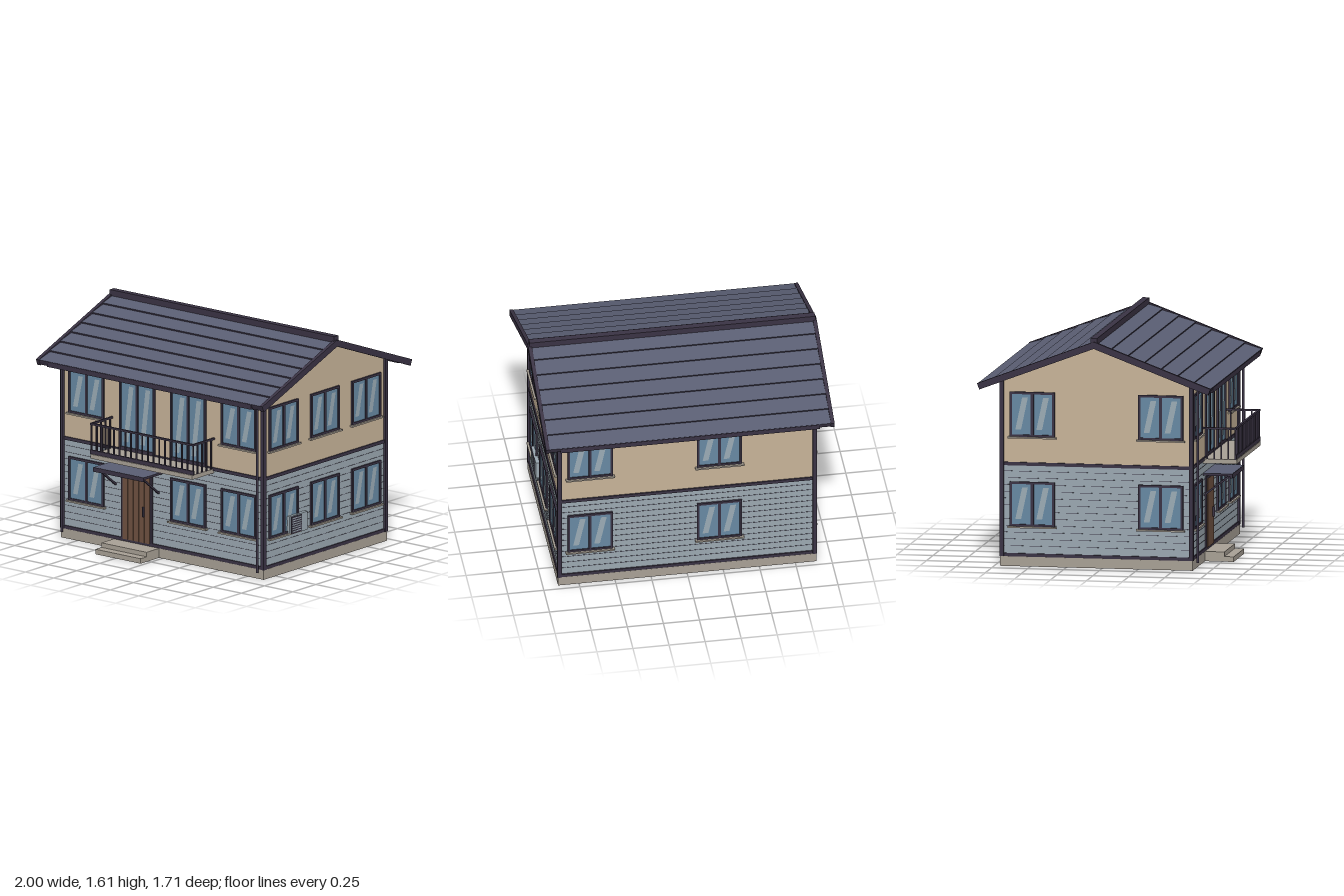
import * as THREE from 'three';

const paint = (name, color) => {
  const m = new THREE.MeshStandardMaterial({ color });
  m.name = name;
  return m;
};
const trim = paint('dark trim', 0x3a3344);
const siding = paint('blue grey siding', 0x9ba8b1);
const plaster = paint('beige plaster', 0xc7b398);
const stone = paint('stone', 0xa8a095);
const glass = paint('window glass', 0x6789a3);
const shine = paint('glass shine', 0x9aabb5);
const wood = paint('door wood', 0x6e5140);
const tile = paint('roof tile', 0x5a5e73);

const C = -0.04;              // z of the house centre and ridge
const HX = 0.885, HZ = 0.66;  // half size of the walls
const T = 0.02;               // wall thickness
const MID = 0.708, EAVE = 1.29;
const SLOPE = Math.atan(0.378);

function add(parent, name, geometry, mat, [x, y, z] = [0, 0, 0]) {
  const mesh = new THREE.Mesh(geometry, mat);
  mesh.name = name;
  mesh.position.set(x, y, z);
  parent.add(mesh);
  return mesh;
}
const box = (parent, name, mat, size, pos) =>
  add(parent, name, new THREE.BoxGeometry(...size), mat, pos);

function group(parent, name) {
  const g = new THREE.Group();
  g.name = name;
  parent.add(g);
  return g;
}

// Slanted reflection on a pane
function shineShape(h) {
  const s = new THREE.Shape();
  s.moveTo(-0.045, -h / 2);
  s.lineTo(-0.005, -h / 2);
  s.lineTo(0.042, h / 2);
  s.lineTo(0.002, h / 2);
  s.closePath();
  return new THREE.ShapeGeometry(s);
}

// Two-pane window set through a wall whose outer face is at local z = 0
function addWindow(wall, x, y0, y1, d, sill = true) {
  const g = group(wall, 'window');
  const w = 0.312, h = y1 - y0, f = 0.016;
  g.position.set(x, (y0 + y1) / 2, d);
  box(g, 'glass', glass, [w - f, h - f, T + 0.01], [0, 0, -T / 2]);
  for (const s of [-1, 1]) {
    box(g, 'frameSide', trim, [f, h, T + 0.026], [s * (w - f) / 2, 0, -T / 2]);
    box(g, 'frameRail', trim, [w, f, T + 0.026], [0, s * (h - f) / 2, -T / 2]);
    add(g, 'glassShine', shineShape(h - 0.09), shine, [s * 0.073, 0.006, 0.007]);
  }
  box(g, 'mullion', trim, [0.02, h, T + 0.024], [0, 0, -T / 2]);
  if (sill) box(g, 'sill', stone, [0.338, 0.011, T + 0.05], [0, -h / 2 - 0.004, -T / 2 + 0.002]);
}

// One side of the house: siding below, plaster above, trim bands, windows
function addWall(house, name, angle, half, d, xs, gable) {
  const wall = group(house, name);
  wall.position.z = C;
  wall.rotation.y = angle;
  box(wall, 'lowerWall', siding, [half * 2, MID - 0.06, T], [0, (MID + 0.06) / 2, d - T / 2]);
  const s = new THREE.Shape();
  s.moveTo(-half, MID);
  s.lineTo(half, MID);
  s.lineTo(half, EAVE);
  if (gable) s.lineTo(0, 1.54);
  s.lineTo(-half, EAVE);
  s.closePath();
  add(wall, 'upperWall', new THREE.ExtrudeGeometry(s, { depth: T, bevelEnabled: false }), plaster, [0, 0, d - T]);
  box(wall, 'floorBand', trim, [half * 2 + 0.012, 0.023, T + 0.018], [0, MID, d - T / 2]);
  box(wall, 'baseBand', trim, [half * 2 + 0.012, 0.023, T + 0.018], [0, 0.078, d - T / 2]);
  box(wall, 'plinth', stone, [half * 2 + 0.02, 0.067, 0.07], [0, 0.0335, d - 0.025]);
  for (let y = 0.14; y < 0.68; y += 0.047)
    box(wall, 'sidingJoint', trim, [half * 2, 0.002, 0.004], [0, y, d]);
  for (const x of xs[0]) addWindow(wall, x, 0.275, 0.585, d);
  for (const x of xs[1]) addWindow(wall, x, 0.895, 1.207, d);
  return wall;
}

// Roof half: dark slab, stepped tile courses with dark risers, barge boards
function addRoofSide(house, name, angle) {
  const side = group(house, name);
  side.position.set(0, 1.565, C);
  side.rotation.y = angle;
  const slope = group(side, 'slope');
  slope.rotation.x = SLOPE;
  const L = 0.861, n = 7, step = L / n;
  box(slope, 'roofSlab', trim, [1.96, 0.025, L], [0, -0.0125, L / 2]);
  for (let i = 0; i < n; i++) {
    const course = box(slope, 'tileCourse', [trim, trim, tile, trim, trim, trim],
      [1.955, 0.014, step], [0, 0, (i + 0.5) * step]);
    course.rotation.x = -0.09;
  }
  for (const s of [-1, 1])
    box(slope, 'bargeBoard', trim, [0.026, 0.045, L + 0.004], [s * 0.987, -0.008, L / 2]);
  box(side, 'gutter', trim, [1.8, 0.034, 0.03], [0, -0.312, 0.797]);
}

function addDoor(wall) {
  const door = group(wall, 'door');
  door.position.set(-0.228, 0.325, HZ);
  box(door, 'doorFrame', trim, [0.275, 0.5, T + 0.02], [0, 0, -T / 2]);
  for (let i = 0; i < 5; i++)
    box(door, 'plank', wood, [0.045, 0.475, 0.008], [(i - 2) * 0.049, -0.004, 0.011]);
  box(door, 'handle', trim, [0.009, 0.07, 0.016], [0.07, -0.02, 0.022]);

  // Canopy with two braces
  const canopy = group(wall, 'canopy');
  canopy.position.set(-0.228, 0, HZ);
  box(canopy, 'canopySlab', [trim, trim, tile, trim, trim, trim], [0.445, 0.016, 0.205], [0, 0.603, 0.1]);
  box(canopy, 'canopyLip', trim, [0.445, 0.03, 0.016], [0, 0.595, 0.197]);
  for (const s of [-1, 1]) {
    const brace = box(canopy, 'brace', trim, [0.013, 0.013, 0.225], [s * 0.19, 0.523, 0.09]);
    brace.rotation.x = -0.66;
  }

  // Steps
  box(wall, 'upperStep', stone, [0.4, 0.067, 0.15], [-0.228, 0.0335, HZ + 0.07]);
  box(wall, 'lowerStep', stone, [0.4, 0.035, 0.2], [-0.228, 0.0175, HZ + 0.11]);
}

function addBalcony(wall) {
  const b = group(wall, 'balcony');
  b.position.z = HZ;
  const front = 0.226;
  box(b, 'balconyFloor', stone, [0.896, 0.03, 0.235], [0, 0.695, 0.1175]);
  box(b, 'bottomRail', trim, [0.912, 0.028, 0.014], [0, 0.726, front]);
  box(b, 'topRail', trim, [0.912, 0.013, 0.016], [0, 0.924, front]);
  for (let i = 0; i <= 18; i++)
    box(b, 'baluster', trim, [0.009, 0.21, 0.009], [-0.45 + i * 0.05, 0.815, front]);
  for (const s of [-1, 1]) {
    box(b, 'sideRail', trim, [0.014, 0.013, front], [s * 0.449, 0.924, front / 2]);
    for (let i = 1; i <= 4; i++)
      box(b, 'sideBaluster', trim, [0.009, 0.215, 0.009], [s * 0.446, 0.817, front - i * 0.049]);
  }
}

function addAirConditioner(wall) {
  const ac = group(wall, 'airConditioner');
  ac.position.set(-0.31, 0.33, HX);
  box(ac, 'casing', siding, [0.195, 0.13, 0.04], [0, 0, 0.006]);
  box(ac, 'grille', trim, [0.116, 0.118, 0.008], [-0.025, 0, 0.027]);
  for (let i = 0; i < 7; i++)
    box(ac, 'slat', siding, [0.102, 0.007, 0.004], [-0.025, (i - 3) * 0.0155, 0.031]);
}

export function createModel() {
  const house = new THREE.Group();
  house.name = 'house';

  // Walls
  const front = addWall(house, 'frontWall', 0, HX, HZ,
    [[-0.672, 0.225, 0.672], [-0.672, 0.672]], false);
  for (const x of [-0.225, 0.225]) addWindow(front, x, 0.72, 1.207, HZ, false);
  addWall(house, 'backWall', Math.PI, HX, HZ, [[-0.672, 0.225], [-0.672, 0.225]], false);
  const sideXs = [-0.447, 0, 0.447];
  const left = addWall(house, 'leftWall', Math.PI / 2, HZ, HX, [sideXs, sideXs], true);
  addWall(house, 'rightWall', -Math.PI / 2, HZ, HX, [[-0.447, 0.447], [-0.447, 0.447]], true);

  addDoor(front);
  addBalcony(front);
  addAirConditioner(left);

  // Corner posts and downpipes
  for (const sx of [-1, 1]) {
    for (const sz of [-1, 1])
      box(house, 'cornerPost', trim, [0.03, 1.235, 0.03], [sx * 0.885, 0.685, C + sz * 0.66]);
    add(house, 'downpipe', new THREE.CylinderGeometry(0.009, 0.009, 1.23, 10), trim, [sx * 0.863, 0.665, 0.66]);
  }

  // Roof
  addRoofSide(house, 'frontRoof', 0);
  addRoofSide(house, 'backRoof', Math.PI);
  box(house, 'ridgeCap', trim, [1.98, 0.042, 0.046], [0, 1.584, C]);

  return house;
}
